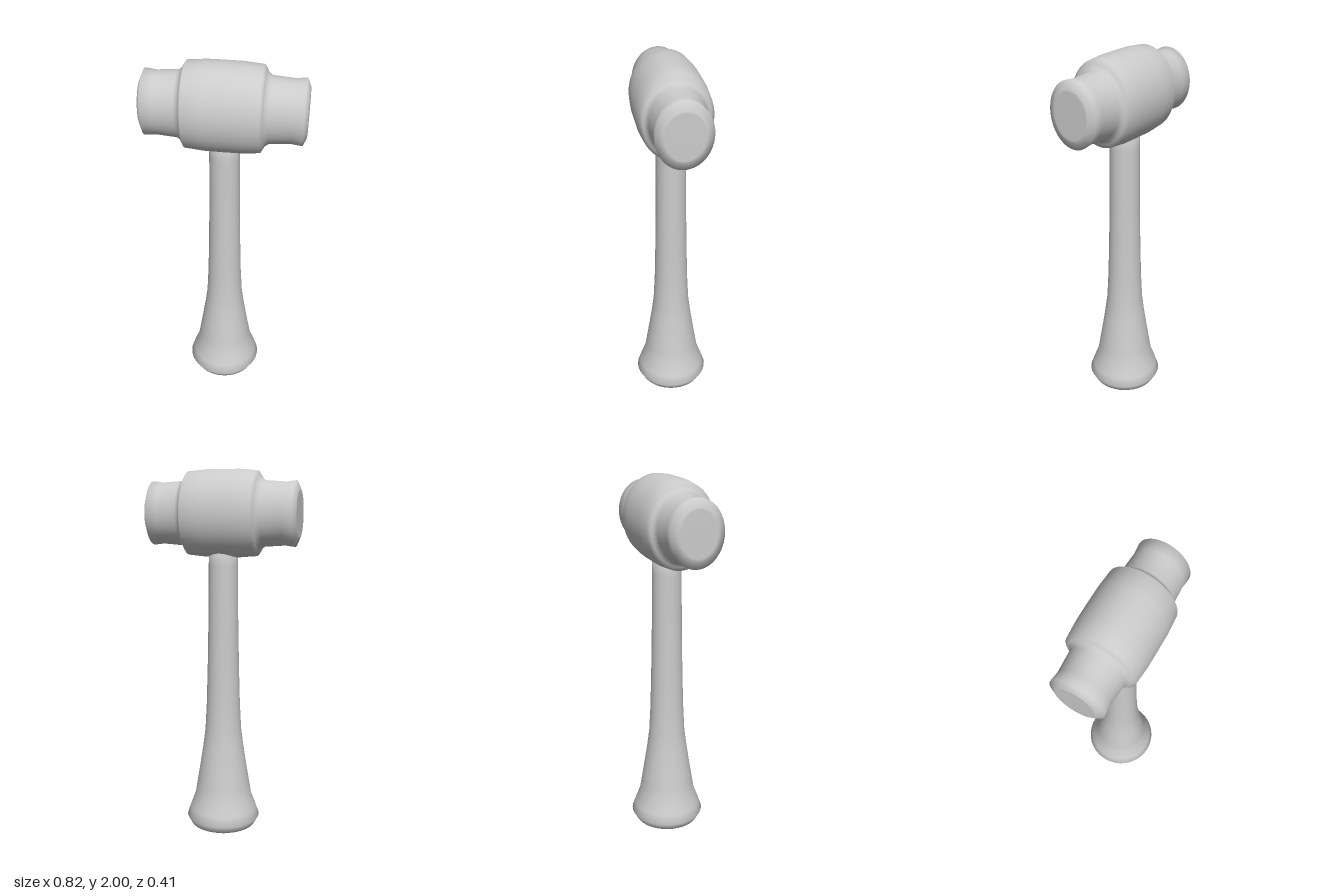
import * as THREE from 'three';

const material = new THREE.MeshStandardMaterial({ color: 0xcccccc });

// Smooth turned part from [radius, height] pairs, listed bottom to top
function turned(name, profile, segments) {
  const points = profile.map(([r, y]) => new THREE.Vector2(r, y));
  const mesh = new THREE.Mesh(new THREE.LatheGeometry(points, segments), material);
  mesh.name = name;
  return mesh;
}

export function createModel() {
  const group = new THREE.Group();
  group.name = 'mallet';

  // Handle: domed butt, flared rim, long taper running up into the head
  const handle = turned('handle', [
    [0, 0], [0.07, 0.005], [0.135, 0.02], [0.18, 0.043], [0.203, 0.085],
    [0.186, 0.135], [0.158, 0.21], [0.148, 0.27], [0.13, 0.38], [0.113, 0.49],
    [0.1, 0.59], [0.092, 0.74], [0.086, 0.95], [0.081, 1.2], [0.078, 1.5],
    [0.077, 1.62], [0, 1.62],
  ], 40);
  handle.position.z = -0.002;
  group.add(handle);

  // Head: half profile from striking face to middle, mirrored to the other end
  const half = [
    [0, 0.408], [0.095, 0.408], [0.104, 0.407], [0.139, 0.389], [0.1335, 0.335],
    [0.14, 0.225], [0.152, 0.205], [0.163, 0.199], [0.181, 0.186], [0.188, 0.09],
  ];
  const profile = [
    ...half.map(([r, x]) => [r, -x]),
    [0.1885, 0],
    ...half.slice().reverse(),
  ];
  const head = turned('head', profile, 48);
  // Lay it along x and stretch the round section into an upright oval
  head.geometry.rotateZ(Math.PI / 2);
  head.geometry.scale(1, 1.208, 1);
  head.position.set(0, 1.772, 0.003);
  group.add(head);

  return group;
}
